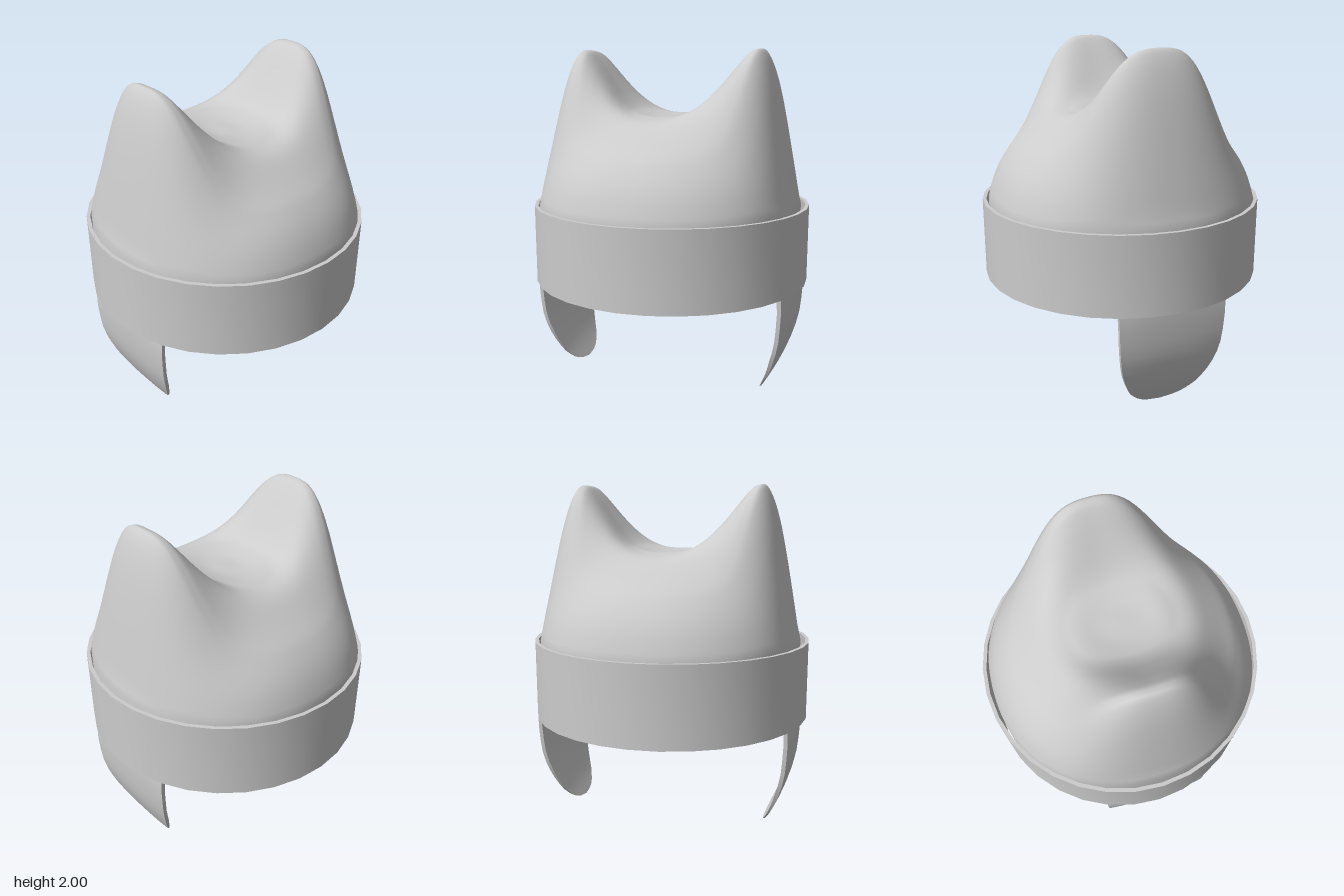
import * as THREE from 'three';
import { toCreasedNormals } from 'three/addons/utils/BufferGeometryUtils.js';

// Smooth lookup y(x) through a few points
function curve(...pairs) {
  const pts = new THREE.SplineCurve(pairs.map(p => new THREE.Vector2(...p))).getPoints(150);
  return x => {
    if (x <= pts[0].x) return pts[0].y;
    for (let i = 1; i < pts.length; i++) {
      const a = pts[i - 1], b = pts[i];
      if (x <= b.x) return a.y + (b.y - a.y) * (x - a.x) / (b.x - a.x || 1);
    }
    return pts[pts.length - 1].y;
  };
}

// Skin a list of closed cross-section loops
function loft(loops) {
  const n = loops[0].length, index = [];
  for (let i = 0; i < loops.length - 1; i++) {
    for (let j = 0; j < n; j++) {
      const k = (j + 1) % n;
      const a = i * n + j, b = i * n + k, c = a + n, d = b + n;
      index.push(a, b, c, b, d, c);
    }
  }
  const geo = new THREE.BufferGeometry();
  geo.setAttribute('position', new THREE.Float32BufferAttribute(loops.flat(2), 3));
  geo.setIndex(index);
  geo.computeVertexNormals();
  return geo;
}

// Plain dome profile, and profile across the two ears
const dome = curve([0, 1.61], [0.2, 1.605], [0.3, 1.585], [0.4, 1.55], [0.5, 1.49],
  [0.6, 1.42], [0.65, 1.37], [0.7, 1.3], [0.74, 1.22], [0.77, 1.13], [0.78, 1.09]);
const ears = curve([0, 1.61], [0.1, 1.613], [0.2, 1.64], [0.25, 1.67], [0.3, 1.72], [0.35, 1.785],
  [0.4, 1.855], [0.45, 1.925], [0.5, 1.985], [0.53, 2], [0.56, 1.995], [0.6, 1.92], [0.64, 1.79],
  [0.68, 1.6], [0.72, 1.38], [0.75, 1.21], [0.772, 1.09]);

// Slightly squared plan of the cap
const N = 2.2, AX = 0.775, AZ = 0.787;
function plan(t) {
  const c = Math.cos(t), s = Math.sin(t);
  const r = (Math.abs(c / AX) ** N + Math.abs(s / AZ) ** N) ** (-1 / N);
  return [r * c, r * s];
}
function height(x, z, s) {
  const q = Math.hypot(x, z * Math.SQRT1_2);
  const fade = Math.exp(-((Math.abs(z) / 0.38) ** 3));
  return dome(s * 0.78) + fade * Math.max(0, ears(q) - dome(q));
}

function capGeometry() {
  const COLS = 128, ROWS = 72, outer = [], inner = [];
  const ring = (s, scale, yOf) => Array.from({ length: COLS }, (_, j) => {
    const [px, pz] = plan(j / COLS * Math.PI * 2);
    const x = px * s, z = pz * s;
    return [x * scale, yOf(x, z, s), z * scale];
  });
  for (let i = 0; i <= ROWS; i++) {
    const s = Math.max(i / ROWS, 0.0005);
    outer.push(ring(s, 1, height));
    inner.push(ring(s, 0.97, (x, z) => height(x, z, s) - 0.045));
  }
  for (const y of [1, 0.925, 0.92]) {
    outer.push(ring(1, 1, () => y));
    inner.push(ring(1, 0.97, () => y));
  }
  return loft([...outer, ...inner.reverse()]);
}

// Ear flap: thin, gently bowed tongue curling in at the tip
const flapWidth = curve([0, 0.01], [0.008, 0.07], [0.03, 0.13], [0.07, 0.18], [0.12, 0.22], [0.25, 0.277],
  [0.4, 0.307], [0.64, 0.32], [0.74, 0.322], [0.84, 0.345], [0.9, 0.385], [0.95, 0.45]);
const flapX = curve([0, 0.602], [0.1, 0.665], [0.22, 0.722], [0.36, 0.765], [0.5, 0.78], [0.64, 0.785],
  [0.8, 0.778], [0.95, 0.772]);
function flapGeometry() {
  const COLS = 20, loops = [];
  for (const y of [0.95, 0.92, 0.9, 0.87, 0.84, 0.79, 0.74, 0.64, 0.55, 0.46, 0.38, 0.31, 0.25,
    0.19, 0.14, 0.1, 0.07, 0.045, 0.025, 0.01, 0]) {
    const w = flapWidth(y), x = flapX(y);
    const bow = THREE.MathUtils.clamp(0.35 + (y - 0.6) / 0.3 * 0.65, 0.35, 1);
    const thick = 0.006 + 0.017 * Math.min(1, y / 0.25);
    const side = inset => Array.from({ length: COLS + 1 }, (_, j) => {
      const z = w * (2 * j / COLS - 1);
      const sag = AX - AX * (1 - (Math.abs(z) / AZ) ** N) ** (1 / N);
      return [x - sag * bow - inset, y, z];
    });
    loops.push([...side(0), ...side(thick).reverse()]);
  }
  return toCreasedNormals(loft(loops), 0.8);
}

export function createModel() {
  const group = new THREE.Group();
  const fabric = new THREE.MeshStandardMaterial({ color: 0xcccccc, side: THREE.DoubleSide });
  fabric.name = 'light grey fabric';
  const add = (name, geo) => {
    const mesh = new THREE.Mesh(geo, fabric);
    mesh.name = name;
    group.add(mesh);
    return mesh;
  };

  add('earedCap', capGeometry());

  // Folded band around the brim
  const profile = [[0.808, 0.635], [0.83, 0.635], [0.83, 1.095], [0.808, 1.095], [0.808, 0.635]];
  const band = new THREE.LatheGeometry(profile.map(p => new THREE.Vector2(...p)), 32);
  add('brimBand', toCreasedNormals(band, 0.6));

  const flap = flapGeometry();
  add('leftEarFlap', flap);
  add('rightEarFlap', flap).rotation.y = Math.PI;
  return group;
}
